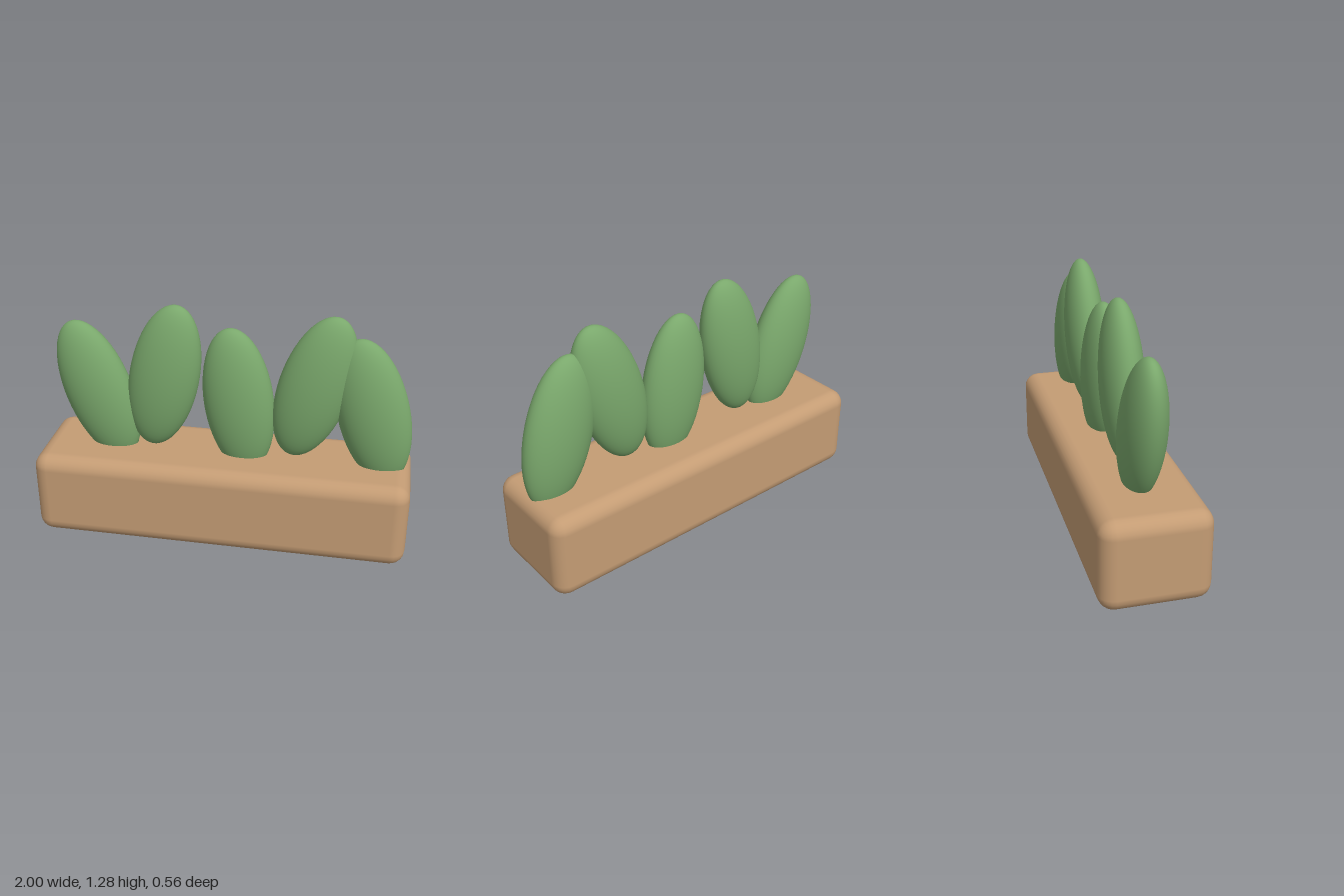
import * as THREE from 'three';
import { RoundedBoxGeometry } from 'three/addons/geometries/RoundedBoxGeometry.js';

export function createModel() {
  const model = new THREE.Group();
  model.name = 'planter';

  // Rounded planter box
  const height = 0.472;
  const box = new THREE.Mesh(
    new RoundedBoxGeometry(2, height, 0.555, 3, 0.08),
    new THREE.MeshStandardMaterial({ color: 0xc49c74 })
  );
  box.name = 'planterBox';
  box.position.y = height / 2;
  model.add(box);

  // Row of flattened leaves: centre x, centre y, sideways tilt
  const leafGeometry = new THREE.SphereGeometry(1, 40, 28).scale(0.186, 0.411, 0.11);
  const leafMaterial = new THREE.MeshStandardMaterial({ color: 0x7aa86c });
  const leaves = [
    [-0.682, 0.77, 0.32],
    [-0.32, 0.88, -0.2],
    [0.078, 0.771, 0.13],
    [0.47, 0.88, -0.28],
    [0.778, 0.77, 0.25],
  ];
  leaves.forEach(([x, y, tilt], i) => {
    const leaf = new THREE.Mesh(leafGeometry, leafMaterial);
    leaf.name = `leaf${i + 1}`;
    leaf.position.set(x, y, 0);
    leaf.rotation.z = tilt;
    model.add(leaf);
  });

  return model;
}
